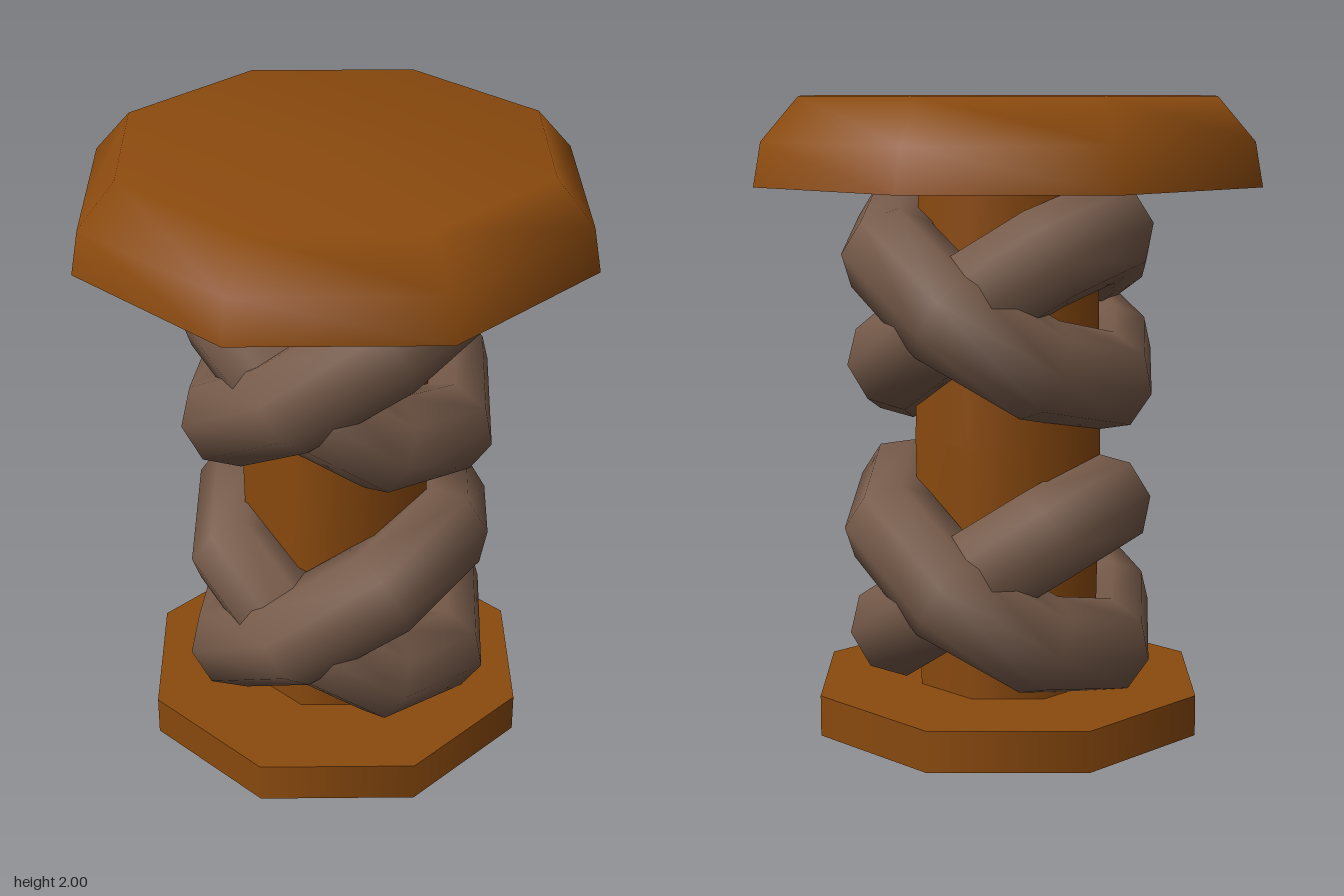
import * as THREE from 'three';

const SIDES = 8;

export function createModel() {
  const model = new THREE.Group();
  const wood = new THREE.MeshStandardMaterial({ color: 0x8b4a0e });
  const rope = new THREE.MeshStandardMaterial({ color: 0x775b4a });
  wood.name = 'wood';
  rope.name = 'rope';

  const add = (name, geometry, material, parent = model) => {
    const mesh = new THREE.Mesh(geometry, material);
    mesh.name = name;
    parent.add(mesh);
    return mesh;
  };
  const lathe = (points) =>
    new THREE.LatheGeometry(points.map(([r, y]) => new THREE.Vector2(r, y)), SIDES);

  // Flat foot
  add('base', new THREE.CylinderGeometry(0.64, 0.64, 0.13, SIDES), wood).position.y = 0.065;

  // Slightly swollen post
  add('post', lathe([[0.3, 0.12], [0.315, 0.93], [0.3, 1.75]]), wood);

  // Cap with a bevelled rim and a flat underside
  const cap = new THREE.Group();
  cap.name = 'cap';
  model.add(cap);
  add('capTop', lathe([[0.825, 1.73], [0.8, 1.865], [0.68, 2], [0, 2]]), wood, cap);
  const underside = add('capUnderside', new THREE.CircleGeometry(0.825, SIDES), wood, cap);
  underside.rotation.x = Math.PI / 2;
  underside.position.y = 1.73;

  // Rope ring: octagonal tube swept round in eight steps, seam on the inside
  const ringRadius = 0.418, tubeRadius = 0.16;
  const section = [];
  for (let i = 0; i <= SIDES; i++) {
    const a = -Math.PI + (i + 0.5) * Math.PI * 2 / SIDES;
    section.push([ringRadius + tubeRadius * Math.cos(a), tubeRadius * Math.sin(a)]);
  }
  const ringGeometry = lathe(section);

  // Two pairs of crossed rings, the outer one lapping over the inner one
  const tilt = THREE.MathUtils.degToRad(34);
  [['lower', 0.495], ['upper', 1.35]].forEach(([label, y]) => {
    const pair = new THREE.Group();
    pair.name = label + 'RopeCrossing';
    pair.position.set(0.02, y, 0);
    model.add(pair);
    add(label + 'OuterRing', ringGeometry, rope, pair).rotation.z = tilt;
    const inner = add(label + 'InnerRing', ringGeometry, rope, pair);
    inner.rotation.z = -tilt;
    inner.scale.z = 0.92;
  });

  return model;
}
